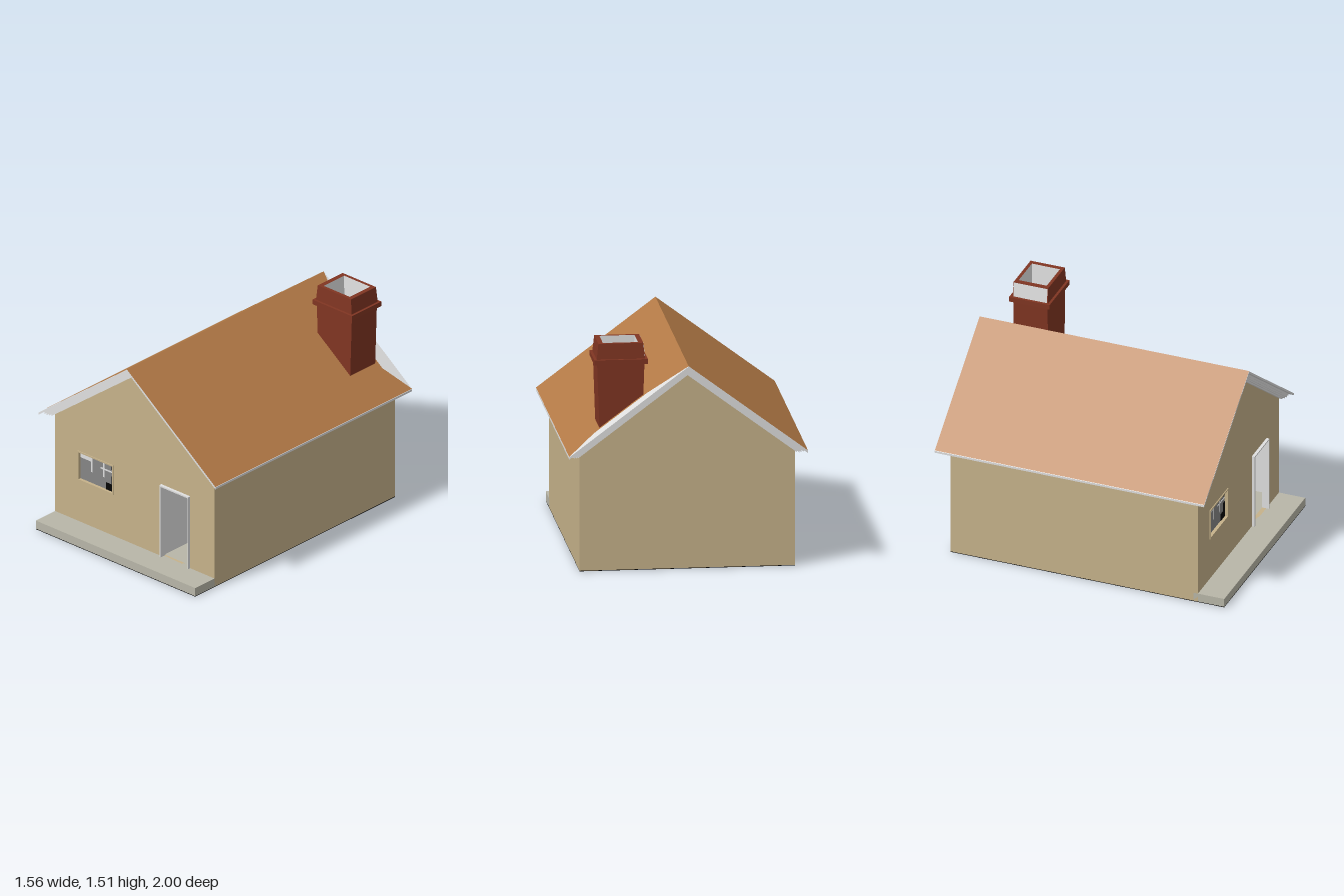
import * as THREE from 'three';

const mat = (name, color, side = THREE.FrontSide) => {
  const m = new THREE.MeshStandardMaterial({ color, side });
  m.name = name;
  return m;
};

const RIDGE = 1.375, SLOPE = 0.75, EAVE = 0.782;
const FRONT = 0.815, BACK = -0.92, HALF = 0.705;

export function createModel() {
  const house = new THREE.Group();
  house.name = 'house';
  const wallTan = mat('wall tan', 0xc6b28a);
  const roofBrown = mat('roof brown', 0xb37a46);
  const brick = mat('brick red', 0x803522);
  const lightGray = mat('light gray', 0xe0e0e0, THREE.DoubleSide);
  const stone = mat('stone gray', 0xb8b6a8);
  const paneGray = mat('pane gray', 0x858585);
  const black = mat('black', 0x060606);

  const add = (name, geo, material, parent = house) => {
    const mesh = new THREE.Mesh(geo, material);
    mesh.name = name;
    parent.add(mesh);
    return mesh;
  };
  // Box given by its minimum and maximum corners
  const box = (name, material, x0, x1, y0, y1, z0, z1) =>
    add(name, new THREE.BoxGeometry(x1 - x0, y1 - y0, z1 - z0), material)
      .position.set((x0 + x1) / 2, (y0 + y1) / 2, (z0 + z1) / 2);
  const poly = (pts) => new THREE.Shape(pts.map(([x, y]) => new THREE.Vector2(x, y)));
  const rect = (x0, x1, y0, y1) => poly([[x0, y0], [x1, y0], [x1, y1], [x0, y1]]);
  const prism = (shape, z0, z1) =>
    new THREE.ExtrudeGeometry(shape, { depth: z1 - z0, bevelEnabled: false }).translate(0, 0, z0);

  // Gable walls, the front one with door and window openings
  const gable = () => poly([[-HALF, 0.004], [HALF, 0.004], [HALF, 0.776], [0, 1.305], [-HALF, 0.776]]);
  const frontShape = gable();
  frontShape.holes.push(rect(0.245, 0.485, 0.063, 0.58), rect(-0.495, -0.195, 0.37, 0.57));
  add('frontWall', prism(frontShape, FRONT - 0.03, FRONT), wallTan);
  add('backWall', prism(gable(), BACK, BACK + 0.03), wallTan);

  // Side walls with pale inner linings
  for (const s of [-1, 1]) {
    const xs = [s * HALF, s * (HALF - 0.03)].sort((a, b) => a - b);
    box('sideWall', wallTan, xs[0], xs[1], 0.004, 0.79, BACK + 0.03, FRONT - 0.03);
    box('sideLining', lightGray, s * 0.67 - 0.004, s * 0.67 + 0.004, 0.063, 0.78, BACK + 0.03, FRONT - 0.03);
  }
  box('partition', lightGray, 0.215, 0.235, 0.063, 0.95, -0.6, FRONT - 0.03);

  // Floor, front step and underside
  box('floor', stone, -0.675, 0.675, 0.004, 0.063, BACK + 0.03, FRONT - 0.03);
  box('frontStep', stone, -HALF, HALF, 0.004, 0.063, FRONT - 0.03, 1);
  box('underside', black, -HALF, HALF, 0, 0.004, BACK, 1);

  // Door frame
  box('doorJamb', lightGray, 0.235, 0.246, 0.063, 0.58, FRONT - 0.03, 0.835);
  box('doorJamb', lightGray, 0.484, 0.49, 0.063, 0.58, FRONT - 0.03, 0.835);
  box('doorLintel', lightGray, 0.235, 0.49, 0.58, 0.59, FRONT - 0.03, 0.835);

  // Window frame, pane and painted patches
  const frame = rect(-0.503, -0.187, 0.362, 0.578);
  frame.holes.push(rect(-0.493, -0.197, 0.372, 0.568));
  add('windowFrame', prism(frame, FRONT - 0.01, FRONT + 0.006), wallTan);
  box('windowPane', paneGray, -0.497, -0.193, 0.368, 0.572, 0.79, 0.797);
  box('paneLight', lightGray, -0.493, -0.39, 0.525, 0.57, 0.797, 0.799);
  box('paneBar', lightGray, -0.32, -0.2, 0.505, 0.515, 0.797, 0.799);
  for (const x of [-0.395, -0.29]) box('paneBar', lightGray, x - 0.006, x + 0.006, 0.45, 0.57, 0.797, 0.799);
  box('paneDark', black, -0.27, -0.195, 0.37, 0.42, 0.797, 0.8);
  box('paneDark', black, -0.22, -0.195, 0.42, 0.48, 0.797, 0.8);
  box('paneDark', black, -0.22, -0.195, 0.53, 0.57, 0.797, 0.8);

  // Roof slab and stepped cornice: gable-shaped bands of shrinking reach
  const chevron = (top, bottom, x) => {
    const y = (d) => RIDGE - d - SLOPE * x;
    return poly([[-x, y(bottom)], [0, RIDGE - bottom], [x, y(bottom)], [x, y(top)], [0, RIDGE - top], [-x, y(top)]]);
  };
  add('roofSlab', prism(chevron(0.003, 0.018, EAVE), -1, 0.89), lightGray);
  const bands = [[0.018, 0.034, 0.758, 0.045], [0.034, 0.05, 0.745, 0.04], [0.05, 0.062, 0.73, 0.033], [0.062, 0.074, 0.716, 0.022]];
  for (const [top, bottom, x, over] of bands)
    add('cornice', prism(chevron(top, bottom, x), BACK - over, FRONT + over), lightGray);

  // Roof covering, with a bare patch behind the chimney (outline in x, -z)
  const slope = (name, pts) => {
    const g = new THREE.ShapeGeometry(poly(pts)).rotateX(-Math.PI / 2);
    const p = g.attributes.position;
    for (let i = 0; i < p.count; i++) p.setY(i, RIDGE - SLOPE * Math.abs(p.getX(i)));
    g.computeVertexNormals();
    add(name, g, roofBrown);
  };
  slope('rightRoof', [[-EAVE, -0.89], [0, -0.89], [0, 1], [-EAVE, 1]]);
  slope('leftRoof', [[0, -0.89], [EAVE, -0.89], [EAVE, 1], [0.61, 0.9], [0.26, 0.9], [0, 1]]);

  // Square loft through rings of [y, half width, half depth]
  const loft = (rings) => {
    const corners = [[-1, 1], [1, 1], [1, -1], [-1, -1]];
    const at = ([y, w, d], i) => [corners[i % 4][0] * w, y, corners[i % 4][1] * d];
    const v = [];
    for (let r = 0; r + 1 < rings.length; r++)
      for (let i = 0; i < 4; i++) {
        const a = at(rings[r], i), b = at(rings[r], i + 1), c = at(rings[r + 1], i + 1), d = at(rings[r + 1], i);
        v.push(...a, ...b, ...c, ...a, ...c, ...d);
      }
    const g = new THREE.BufferGeometry();
    g.setAttribute('position', new THREE.Float32BufferAttribute(v, 3));
    g.computeVertexNormals();
    return g;
  };

  // Chimney: flared fireplace, shaft, collar, cap and hollow flue
  const chimney = new THREE.Group();
  chimney.name = 'chimney';
  chimney.position.set(0.43, 0, -0.755);
  house.add(chimney);
  add('chimneyStack', loft([
    [0.063, 0.19, 0.12], [0.2, 0.183, 0.12], [0.32, 0.15, 0.12], [0.36, 0.12, 0.12],
    [1.372, 0.155, 0.12], [1.372, 0.175, 0.142], [1.405, 0.175, 0.142], [1.405, 0.158, 0.125],
    [1.51, 0.147, 0.12], [1.51, 0.115, 0.098],
  ]), brick, chimney);
  add('flue', loft([[1.51, 0.115, 0.098], [1.2, 0.1, 0.088], [1.2, 0, 0]]), lightGray, chimney);

  // Pale face on the chimney cap's inner side
  const face = new THREE.PlaneGeometry(0.236, 0.1).rotateY(-Math.PI / 2).rotateZ(-0.105);
  add('capFace', face, lightGray, chimney).position.set(-0.1545, 1.457, 0);

  // Fireplace opening
  const arch = [[0.16, 0.125], [0.15, 0.22], [0.125, 0.29], [0.06, 0.35]];
  const opening = poly([...arch, ...arch.map(([x, y]) => [-x, y]).reverse()]);
  add('fireplaceOpening', prism(opening, 0.12, 0.124), lightGray, chimney);

  return house;
}
